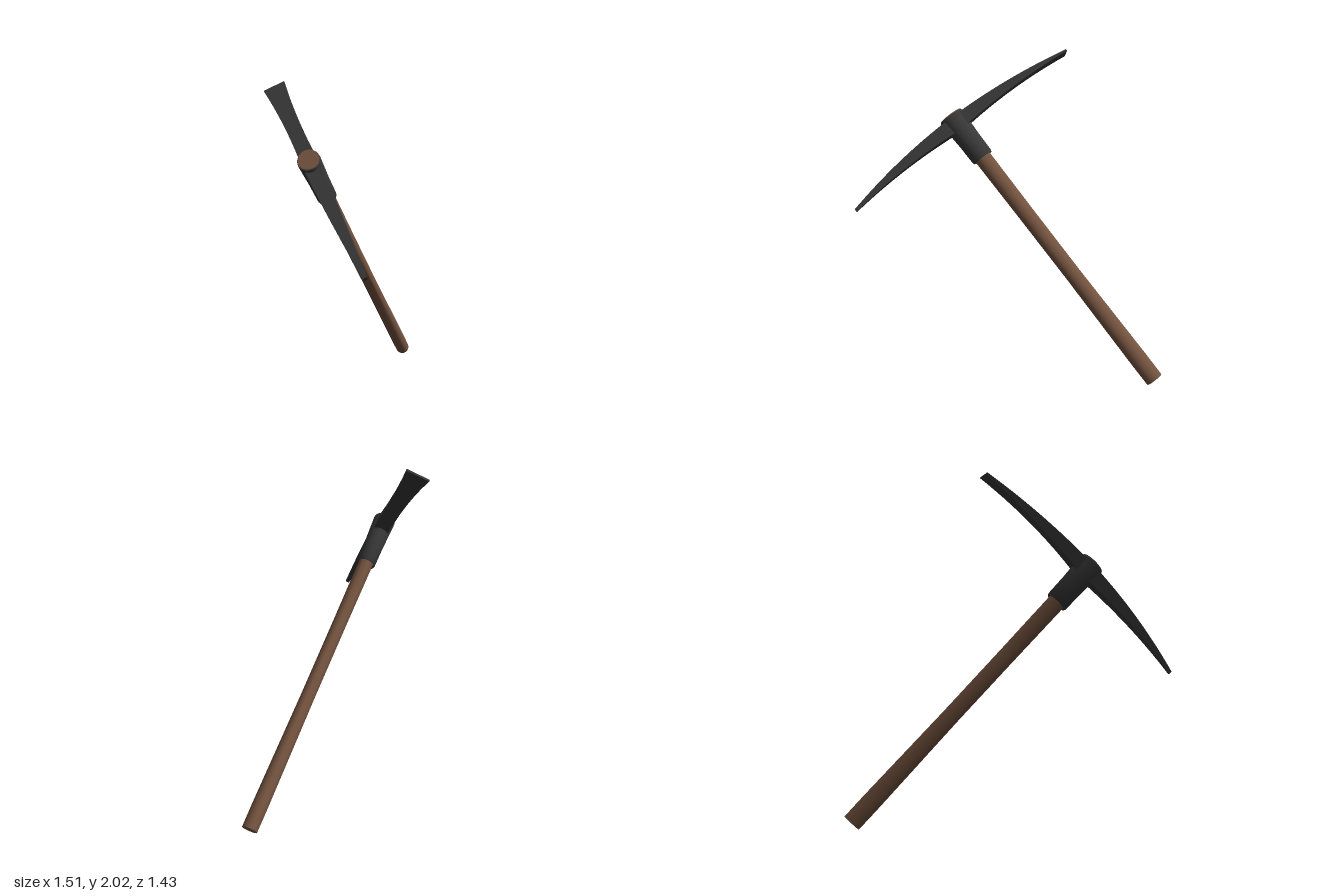
import * as THREE from 'three';
import { toCreasedNormals } from 'three/addons/utils/BufferGeometryUtils.js';

const wood = new THREE.MeshStandardMaterial({ color: 0x74533f });
wood.name = 'brown wood';
const metal = new THREE.MeshStandardMaterial({ color: 0x383838 });
metal.name = 'dark metal';

function part(name, geometry, material) {
  const mesh = new THREE.Mesh(toCreasedNormals(geometry, 0.6), material);
  mesh.name = name;
  return mesh;
}

// Oval turned part around the handle axis, wider along the head than across it
function oval(profile) {
  const points = profile.map(([r, y]) => new THREE.Vector2(r, y));
  return new THREE.LatheGeometry(points, 28).scale(1, 1, 0.81);
}

// Loft of four-cornered sections along x: the pick point at -x, the chisel at +x
function headGeometry() {
  const half = 0.857, steps = 28;
  const pos = [], index = [];
  for (let i = 0; i <= steps; i++) {
    const t = -1 + (2 * i) / steps, a = Math.abs(t);
    const x = t * half;
    const top = -0.02 - 0.095 * t * t;
    const thick = t < 0 ? 0.1 - 0.08 * a : 0.1 - 0.088 * a;
    const w = t < 0 ? 0.05 - 0.038 * a ** 1.4 : 0.05 - 0.03 * a + 0.052 * a * a;
    pos.push(x, top, w, x, top, -w, x, top - thick, -w, x, top - thick, w);
  }
  for (let i = 0; i < steps; i++) {
    for (let j = 0; j < 4; j++) {
      const a = i * 4 + j, b = i * 4 + ((j + 1) % 4);
      index.push(a, a + 4, b, b, a + 4, b + 4);
    }
  }
  const e = steps * 4;
  index.push(0, 1, 2, 0, 2, 3, e, e + 2, e + 1, e, e + 3, e + 2);
  const g = new THREE.BufferGeometry();
  g.setAttribute('position', new THREE.Float32BufferAttribute(pos, 3));
  g.setIndex(index);
  return g;
}

export function createModel() {
  const group = new THREE.Group();
  group.name = 'pickaxe';

  // Built upright with the handle top at the origin, then leaned over
  const tool = new THREE.Group();
  tool.name = 'leaningTool';
  tool.add(part('handle', oval([
    [0, -2.152], [0.057, -2.152], [0.058, -2.0], [0.052, -1.3], [0.053, -0.8],
    [0.056, -0.35], [0.062, -0.2], [0.079, 0], [0, 0],
  ]), wood));
  tool.add(part('collar', oval([
    [0.054, -0.335], [0.068, -0.347], [0.074, -0.335], [0.076, -0.2],
    [0.085, -0.02], [0.083, -0.006], [0.076, -0.006],
  ]), metal));
  tool.add(part('head', headGeometry(), metal));

  // Lean: y follows the handle, x follows the head
  const up = new THREE.Vector3(-0.613, 0.732, 0.297).normalize();
  const along = new THREE.Vector3(0.254, 0.526, -0.812);
  along.addScaledVector(up, -along.dot(up)).normalize();
  const across = new THREE.Vector3().crossVectors(along, up);
  tool.quaternion.setFromRotationMatrix(new THREE.Matrix4().makeBasis(along, up, across));
  tool.position.set(-0.61, 1.61, 0.05);
  group.add(tool);
  return group;
}
